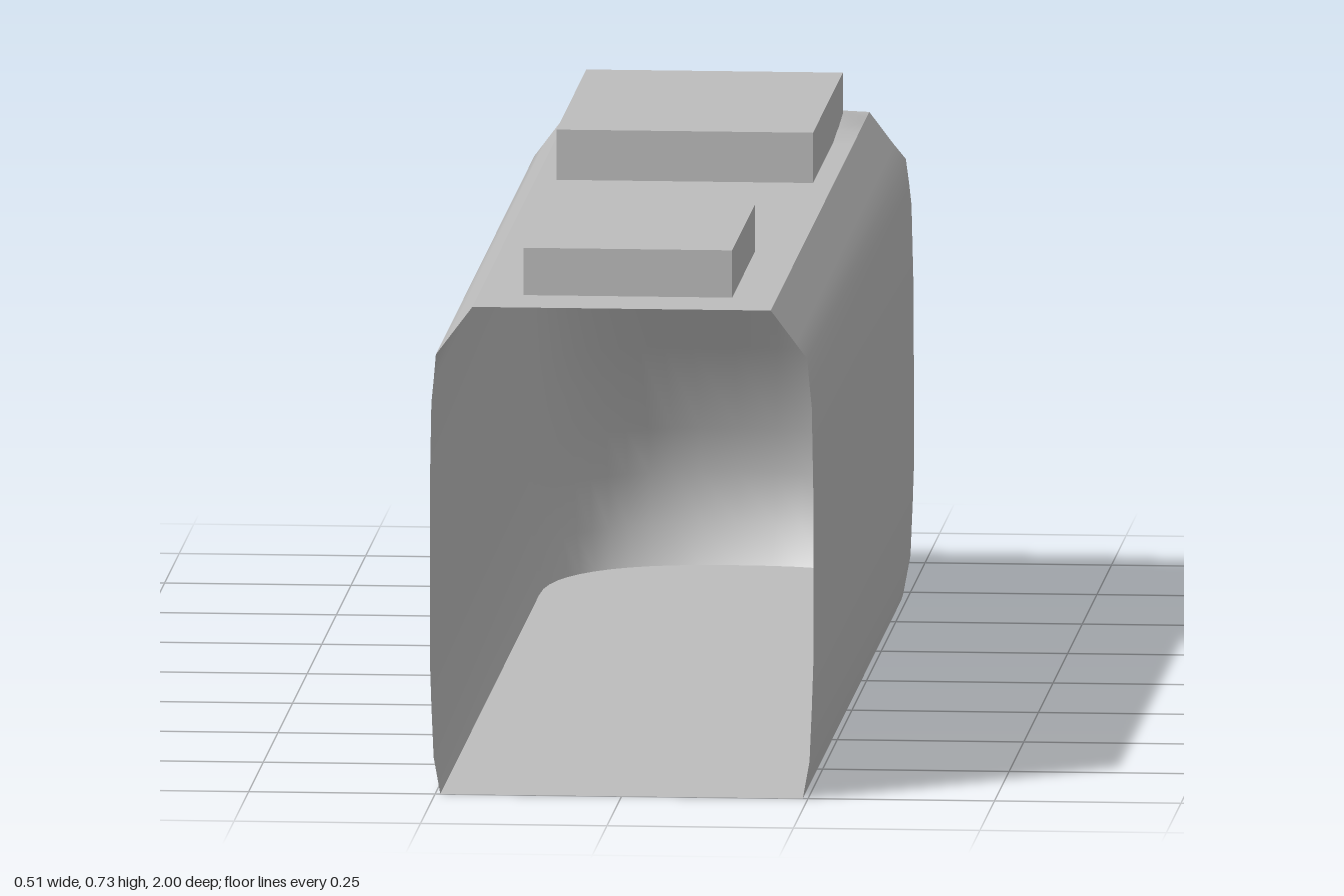
import * as THREE from 'three';
import { toCreasedNormals } from 'three/addons/utils/BufferGeometryUtils.js';

// Skin rows of [x, y, z] points into a surface with creased normals
function loft(rows, crease = 0.8) {
  const n = rows[0].length, index = [];
  for (let i = 0; i < rows.length - 1; i++) {
    for (let j = 0; j < n - 1; j++) {
      const a = i * n + j, b = a + 1, c = a + n, d = c + 1;
      index.push(a, b, d, a, d, c);
    }
  }
  const g = new THREE.BufferGeometry();
  g.setAttribute('position', new THREE.Float32BufferAttribute(rows.flat(2), 3));
  g.setIndex(index);
  return toCreasedNormals(g, crease);
}

export function createModel() {
  const model = new THREE.Group();
  const grey = new THREE.MeshStandardMaterial({ color: 0xbcbcbc, side: THREE.DoubleSide });
  grey.name = 'shellGrey';

  const add = (name, geometry) => {
    const mesh = new THREE.Mesh(geometry, grey);
    mesh.name = name;
    model.add(mesh);
    return mesh;
  };

  // Height, half width, nose tip z, squareness of the nose in plan
  const joint = -0.685;
  const levels = [
    [0, 0.243, -0.96, 2.5],
    [0.05, 0.252, -1, 2.5],
    [0.12, 0.255, -1, 2.5],
    [0.18, 0.257, -0.997, 2.5],
    [0.3, 0.257, -0.932, 2.7],
    [0.42, 0.257, -0.864, 3],
    [0.53, 0.255, -0.802, 3.4],
    [0.56, 0.252, -0.777, 3.7],
    [0.595, 0.249, -0.72, 4],
    [0.615, 0.234, -0.7, 4],
    [0.66, 0.2, joint, 4],
  ];

  // Hollow body, open at the coupling end
  const section = [
    ...levels.map(([y, w]) => [w, y]),
    ...levels.map(([y, w]) => [-w, y]).reverse(),
    [levels[0][1], 0],
  ];
  add('body', loft([joint, 1].map(z => section.map(([x, y]) => [x, y, z]))));

  // Rounded, raked nose with its flat underside
  const steps = 24;
  const noseRows = levels.map(([y, w, tip, n]) =>
    Array.from({ length: steps + 1 }, (_, j) => {
      const t = (j / steps) * Math.PI, c = Math.cos(t);
      const x = w * Math.sign(c) * Math.abs(c) ** (2 / n);
      const v = j === steps ? 0 : Math.sin(t) ** (2 / n);
      return [x, y, joint + (tip - joint) * v];
    }));
  const floorRow = noseRows[0].map(([x, y]) => [x, y, joint]);
  add('nose', loft([floorRow, ...noseRows]));

  // Low fairing rising from the top of the nose to the roof unit
  const humpProfile = [[joint, 0], [-0.64, 0.017], [-0.59, 0.029], [-0.5, 0.012], [-0.42, 0]];
  add('roofFairing', loft(humpProfile.map(([z, h]) =>
    Array.from({ length: 13 }, (_, j) => {
      const s = 1 - j / 6;
      return [0.2 * s, 0.66 + h * (1 - s ** 4), z];
    }))));

  // Roof equipment boxes: half width, height, near z, far z
  const roofBox = (name, halfWidth, top, z0, z1) => {
    const mesh = add(name, new THREE.BoxGeometry(halfWidth * 2, top - 0.655, z1 - z0));
    mesh.position.set(0, (top + 0.655) / 2, (z0 + z1) / 2);
  };
  roofBox('frontRoofUnit', 0.172, 0.728, -0.59, -0.08);
  roofBox('rearRoofUnit', 0.14, 0.724, 0.505, 0.895);

  return model;
}
